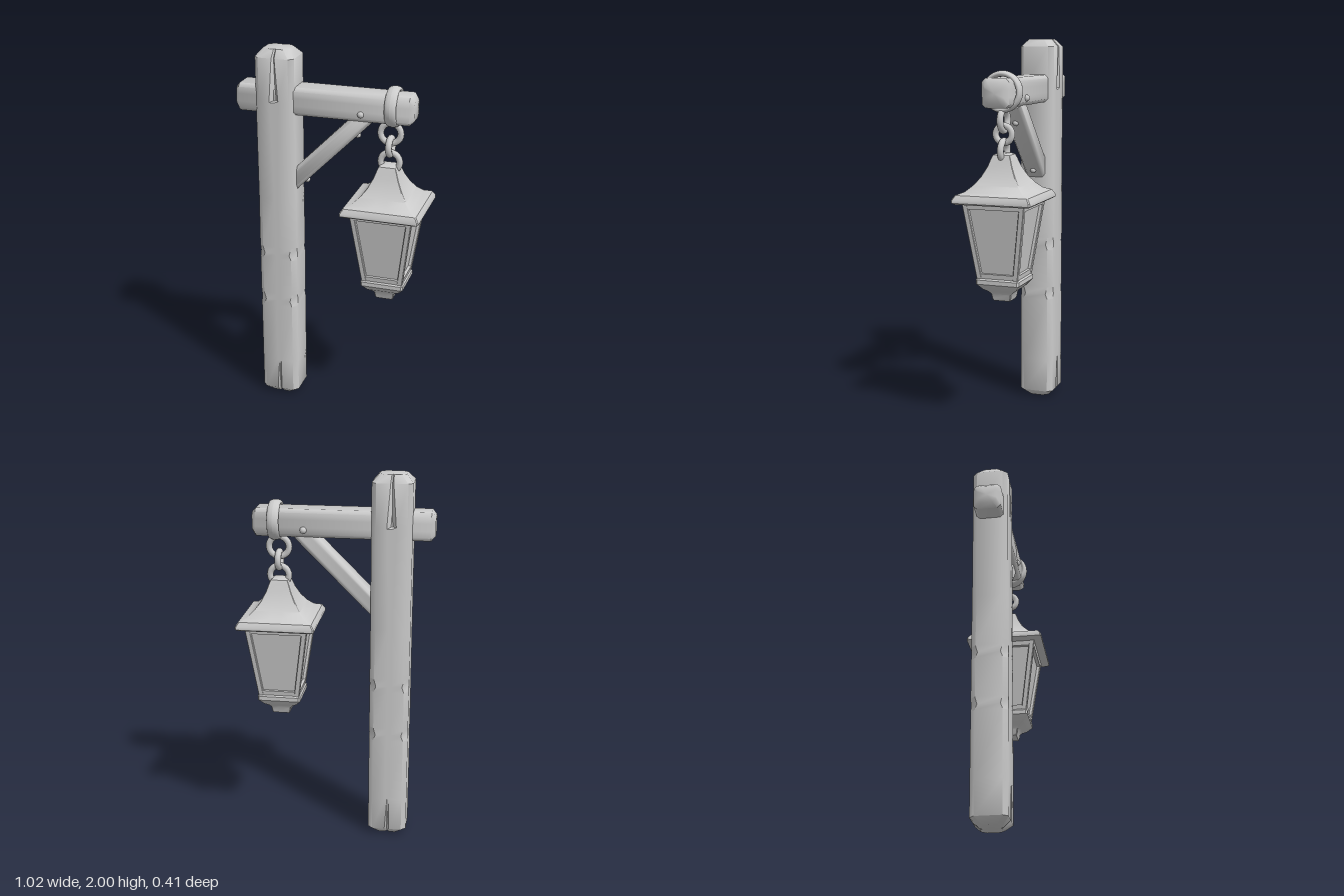
import * as THREE from 'three';
import { toCreasedNormals } from 'three/addons/utils/BufferGeometryUtils.js';

const material = new THREE.MeshStandardMaterial({ color: 0xcccccc });

// Chamfered rectangle at height y; a V groove (half width g, depth d) runs down both z faces
function section(y, hx, hz, c, g = 0.02, d = 0, cx = 0, cz = 0) {
  const half = [[hx, hz - c], [hx - c, hz], [g, hz], [0, hz - d], [-g, hz], [-hx + c, hz], [-hx, hz - c]];
  const other = half.map(([x, z]) => [x, -z]).reverse();
  return [...half, ...other].map(([x, z]) => new THREE.Vector3(x + cx, y, z + cz));
}

// Closed skin over a stack of sections, bottom to top
function loft(rings, crease = 0.6) {
  const n = rings[0].length, pos = [];
  const tri = (...p) => p.forEach((v) => pos.push(v.x, v.y, v.z));
  const middle = (r) => r.reduce((s, v) => s.add(v), new THREE.Vector3()).divideScalar(n);
  const low = rings[0], high = rings[rings.length - 1];
  const lowMid = middle(low), highMid = middle(high);
  for (let i = 0; i < n; i++) {
    const j = (i + 1) % n;
    for (let k = 0; k < rings.length - 1; k++) {
      const a = rings[k], b = rings[k + 1];
      tri(a[i], b[i], a[j]);
      tri(a[j], b[i], b[j]);
    }
    tri(lowMid, low[i], low[j]);
    tri(highMid, high[j], high[i]);
  }
  const geo = new THREE.BufferGeometry();
  geo.setAttribute('position', new THREE.Float32BufferAttribute(pos, 3));
  return toCreasedNormals(geo, crease);
}

// Square stack from [y, half size] pairs
const squareLoft = (profile, chamfer = 0.1, crease = 0.6) =>
  loft(profile.map(([y, h]) => section(y, h, h, h * chamfer, h * 0.2)), crease);

// Timber of a given length along y, with bevelled ends
function timber(length, hx, hz, c, bevel) {
  const e = length / 2;
  return loft([
    section(-e, hx - bevel, hz - bevel, c),
    section(-e + bevel, hx, hz, c),
    section(e - bevel, hx, hz, c),
    section(e, hx - bevel, hz - bevel, c),
  ], 0.9);
}

export function createModel() {
  const group = new THREE.Group();
  const add = (name, geo, x = 0, y = 0, z = 0, parent = group) => {
    const mesh = new THREE.Mesh(geo, material);
    mesh.name = name;
    mesh.position.set(x, y, z);
    parent.add(mesh);
    return mesh;
  };

  // Upright post: [y, inset, chamfer, groove half width, groove depth]
  const postLevels = [
    [0, 0.035, 0.025, 0.012, 0.015], [0.035, 0, 0.025, 0.012, 0.015], [0.22, 0, 0.025, 0.01, 0],
    [0.57, 0, 0.025, 0.01, 0], [0.6, 0, 0.036, 0.01, 0], [0.64, 0, 0.025, 0.01, 0],
    [0.85, 0, 0.025, 0.01, 0], [0.88, 0, 0.036, 0.01, 0], [0.92, 0, 0.025, 0.01, 0],
    [1.2, 0, 0.03, 0.01, 0], [1.73, 0, 0.025, 0.024, 0], [1.738, 0, 0.025, 0.024, 0.03],
    [1.96, 0, 0.025, 0.008, 0.015], [2, 0.035, 0.025, 0.006, 0.01],
  ];
  add('post', loft(postLevels.map(([y, i, c, g, d]) =>
    section(y, 0.105 - i, 0.094 - i, c, g, d)), 0.8), -0.29);

  // Cross beam
  add('beam', timber(0.945, 0.073, 0.072, 0.018, 0.022), -0.037, 1.738, 0.002).rotation.z = -Math.PI / 2;

  // Diagonal brace and its pegs
  const from = new THREE.Vector2(-0.23, 1.275), to = new THREE.Vector2(0.19, 1.695);
  const run = to.clone().sub(from);
  const brace = add('brace', timber(run.length(), 0.045, 0.055, 0.015, 0.01),
    (from.x + to.x) / 2, (from.y + to.y) / 2);
  brace.rotation.z = run.angle() - Math.PI / 2;
  for (const t of [-0.22, 0.17]) {
    add('bracePeg', new THREE.SphereGeometry(0.016, 10, 8), 0.045, t, 0, brace);
  }
  add('beamPeg', new THREE.CapsuleGeometry(0.018, 0.14, 4, 12), 0.165, 1.705).rotation.x = Math.PI / 2;

  // Iron band around the beam: oval cross-section swept round the x axis
  const oval = [];
  for (let i = 0; i <= 16; i++) {
    const a = (i / 16) * Math.PI * 2;
    oval.push(new THREE.Vector2(0.09 + 0.015 * Math.cos(a), 0.031 * Math.sin(a)));
  }
  add('beamRing', new THREE.LatheGeometry(oval, 40), 0.32, 1.742).rotation.z = -Math.PI / 2;

  // Chain links, alternately turned: [y, ring radius, turn]
  for (const [y, r, turn] of [[1.6, 0.053, 0], [1.53, 0.043, Math.PI / 2], [1.447, 0.05, 0]]) {
    add('chainLink', new THREE.TorusGeometry(r, 0.017, 10, 28), 0.305, y).rotation.y = turn;
  }

  // Lantern
  const lantern = new THREE.Group();
  lantern.name = 'lantern';
  lantern.position.x = 0.3;
  group.add(lantern);
  const part = (name, geo) => add(name, geo, 0, 0, 0, lantern);

  part('roof', squareLoft([
    [1.19, 0.195], [1.198, 0.207], [1.212, 0.207], [1.236, 0.192], [1.25, 0.155], [1.28, 0.122],
    [1.32, 0.092], [1.37, 0.066], [1.41, 0.052], [1.428, 0.044], [1.436, 0.028],
  ], 0.03));
  part('panes', squareLoft([[0.8, 0.092], [1.19, 0.146]], 0.02));
  part('topRail', squareLoft([[1.165, 0.161], [1.195, 0.165]], 0.04));
  part('bottomRail', squareLoft([[0.795, 0.108], [0.83, 0.113]], 0.04));
  for (const sx of [-1, 1]) {
    for (const sz of [-1, 1]) {
      part('cornerBar', loft([[0.8, 0.096], [1.19, 0.151]].map(([y, o]) =>
        section(y, 0.014, 0.014, 0.003, 0.004, 0, sx * o, sz * o))));
    }
  }
  part('base', squareLoft([
    [0.68, 0.045], [0.69, 0.05], [0.715, 0.054], [0.728, 0.065], [0.745, 0.09], [0.76, 0.103],
    [0.775, 0.116], [0.797, 0.116], [0.812, 0.104],
  ], 0.08));

  return group;
}
